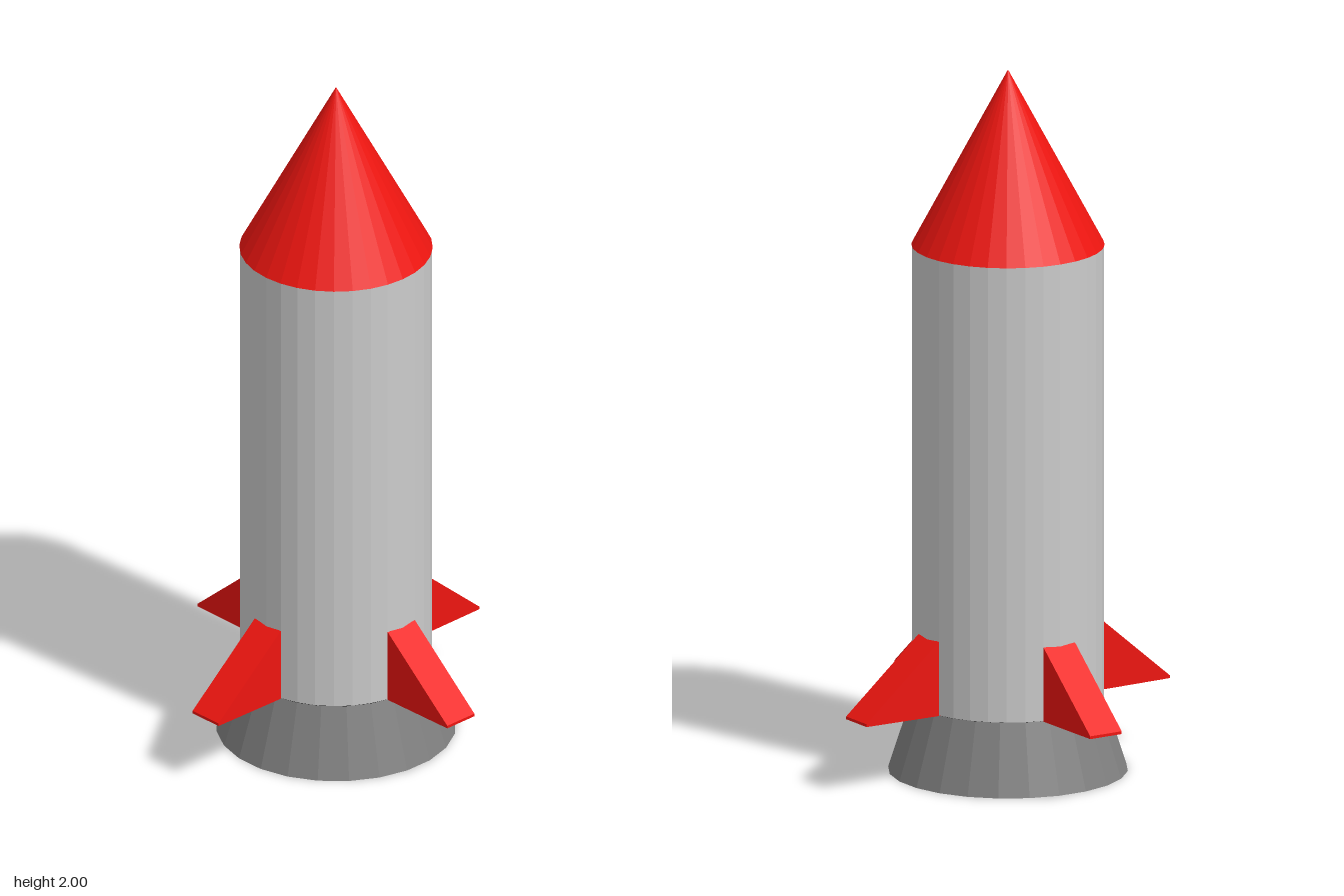
import * as THREE from 'three';

const material = (color, side = THREE.FrontSide) =>
  new THREE.MeshStandardMaterial({ color, flatShading: true, side });

function addMesh(parent, name, geometry, mat) {
  const mesh = new THREE.Mesh(geometry, mat);
  mesh.name = name;
  parent.add(mesh);
  return mesh;
}

export function createModel() {
  const rocket = new THREE.Group();
  rocket.name = 'rocket';

  const hull = material(0xcccccc);
  const red = material(0xee1510);
  const darkGrey = material(0x808080, THREE.DoubleSide);
  const black = material(0x111111, THREE.DoubleSide);

  // Cylindrical body
  const body = addMesh(rocket, 'body', new THREE.CylinderGeometry(0.266, 0.266, 1.3, 32), hull);
  body.position.y = 0.85;

  // Pointed nose
  const nose = addMesh(rocket, 'noseCone', new THREE.ConeGeometry(0.268, 0.5, 32), red);
  nose.position.y = 1.75;

  // Flared nozzle: outer skirt and rim, then a dark hollow inside
  const point = (x, y) => new THREE.Vector2(x, y);
  const half = Math.PI / 24;
  const nozzle = new THREE.Group();
  nozzle.name = 'nozzle';
  nozzle.rotation.y = half;
  rocket.add(nozzle);
  addMesh(nozzle, 'nozzleSkirt',
    new THREE.LatheGeometry([point(0.312, 0), point(0.333, 0), point(0.268, 0.2)], 24), darkGrey);
  addMesh(nozzle, 'nozzleHollow',
    new THREE.LatheGeometry([point(0, 0.14), point(0.267, 0.14), point(0.312, 0)], 24), black);

  // Four wedge fins around the foot of the body
  const profile = new THREE.Shape([
    point(0.24, 0.198), point(0.5, 0.2), point(0.5, 0.208), point(0.262, 0.41), point(0.24, 0.41),
  ]);
  const finGeometry = new THREE.ExtrudeGeometry(profile, { depth: 0.104, bevelEnabled: false });
  finGeometry.translate(0, 0, -0.052);
  ['leftFin', 'backFin', 'rightFin', 'frontFin'].forEach((name, i) => {
    addMesh(rocket, name, finGeometry, red).rotation.y = (i * Math.PI) / 2;
  });

  return rocket;
}
